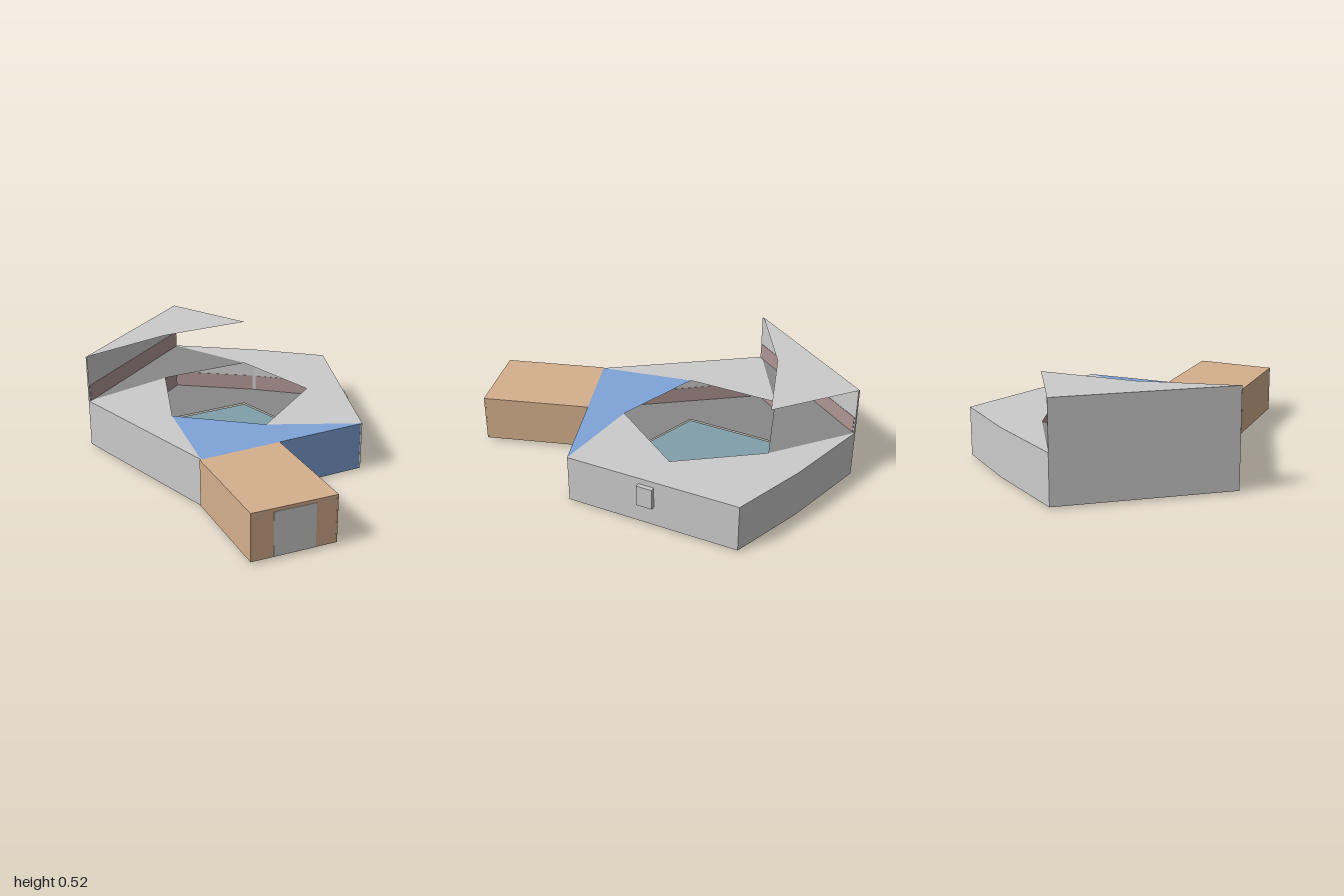
import * as THREE from 'three';

const GREY = 0xcccccc, SLAB = 0x888888, BLUE = 0x7fa4d9, TAN = 0xd4af8d;
const PINK = 0xaf9494, POOL = 0x7f9fab, GREEN = 0x5a6f3e;
const Y0 = 0.01, Y1 = 0.268, Y2 = 0.523, T = 0.008;

// plan corners as [x, z], running round the building from the front
const FL = [-0.455, 0.42], FR = [0.45, 0.42], R = [0.725, -0.47];
const BR = [0.4, -0.73], B = [0, -1], L = [-0.727, -0.46];
// courtyard corners
const CF = [0, 0.215], CR = [0.405, -0.09], CBR = [0.255, -0.57], CBL = [-0.24, -0.57], CL = [-0.395, -0.09];
const OUTER = [FL, FR, R, BR, B, L];
const COURT = [CF, CR, CBR, CBL, CL];

export function createModel() {
  const model = new THREE.Group();

  function add(geo, color, name, parent = model) {
    const mesh = new THREE.Mesh(geo, new THREE.MeshStandardMaterial({ color, side: THREE.DoubleSide }));
    mesh.name = name;
    parent.add(mesh);
    return mesh;
  }

  // horizontal panel from plan corners
  function panel(points, y, color, name, hole) {
    const toPlan = (pts) => pts.map(([x, z]) => new THREE.Vector2(x, -z));
    const shape = new THREE.Shape(toPlan(points));
    if (hole) shape.holes.push(new THREE.Path(toPlan(hole)));
    return add(new THREE.ShapeGeometry(shape).rotateX(-Math.PI / 2).translate(0, y, 0), color, name);
  }

  // thin upright wall whose outer face runs from a to b; optional inner skirting band
  function wall(a, b, y0, y1, color, name, band) {
    const dx = b[0] - a[0], dz = b[1] - a[1], len = Math.hypot(dx, dz);
    const group = new THREE.Group();
    group.name = name;
    group.position.set((a[0] + b[0]) / 2, 0, (a[1] + b[1]) / 2);
    group.rotation.y = Math.atan2(-dz, dx);
    add(new THREE.BoxGeometry(len, y1 - y0, T).translate(0, (y0 + y1) / 2, -T / 2), color, name + 'Face', group);
    if (band) {
      add(new THREE.BoxGeometry(len - 0.02, 0.09, 0.002).translate(0, y0 + 0.045, -T - 0.001), PINK, 'skirting', group);
    }
    model.add(group);
    return group;
  }

  // floors
  panel(OUTER, Y0, SLAB, 'groundFloor', COURT);
  panel(COURT, 0.002, POOL, 'courtyardFloor');

  // ground storey walls
  wall(FL, [0.44, 0.42], Y0, Y1, BLUE, 'frontWall');
  const rightWall = wall(FR, R, Y0, Y1, GREY, 'rightWall', true);
  wall(R, BR, Y0, Y1, GREY, 'backRightWall', true);
  wall(BR, B, Y0, Y1, GREY, 'backWall', true);
  wall(B, L, Y0, Y1, GREY, 'backLeftWall', true);
  wall(L, FL, Y0, Y1, GREY, 'leftWall', true);

  // ground storey roofs around the courtyard
  panel([FL, FR, CF, CL], Y1, BLUE, 'frontRoof');
  panel([FR, R, BR, B, CBR, CR, CF], Y1, GREY, 'rightRoof');
  panel([L, FL, CL, CBL], Y1, GREY, 'leftRoof');

  // upper storey: floor, one outer wall and a thin roof
  panel([B, L, CBL, CBR], Y1, SLAB, 'upperFloor');
  wall(B, L, Y1, Y2, GREY, 'upperWall', true);
  panel([B, L, CBL, CBR], Y2, GREY, 'upperRoof');

  // small box on the right wall
  const box = add(new THREE.BoxGeometry(0.085, 0.115, 0.03), GREY, 'wallBox', rightWall);
  box.position.set(-0.025, 0.178, 0.008);

  // entrance wing with a slightly skewed front
  const EL = [-0.455, 0.975], ER = [-0.03, 0.998], EB = [-0.03, 0.42];
  wall(FL, EL, 0.015, Y1, TAN, 'entranceLeftWall').scale.z = -1;
  wall(EL, ER, 0.015, Y1, TAN, 'entranceFront');
  wall(ER, EB, 0.015, Y1, TAN, 'entranceRightWall');
  panel([FL, EL, ER, EB], Y1, TAN, 'entranceRoof');
  panel([FL, EL, ER, EB], 0.015, GREEN, 'entranceFloor');
  const at = (x) => [x, EL[1] + (ER[1] - EL[1]) * (x - EL[0]) / (ER[0] - EL[0]) + 0.002];
  wall(at(-0.35), at(-0.14), 0.016, 0.25, GREY, 'entranceDoor');

  return model;
}
